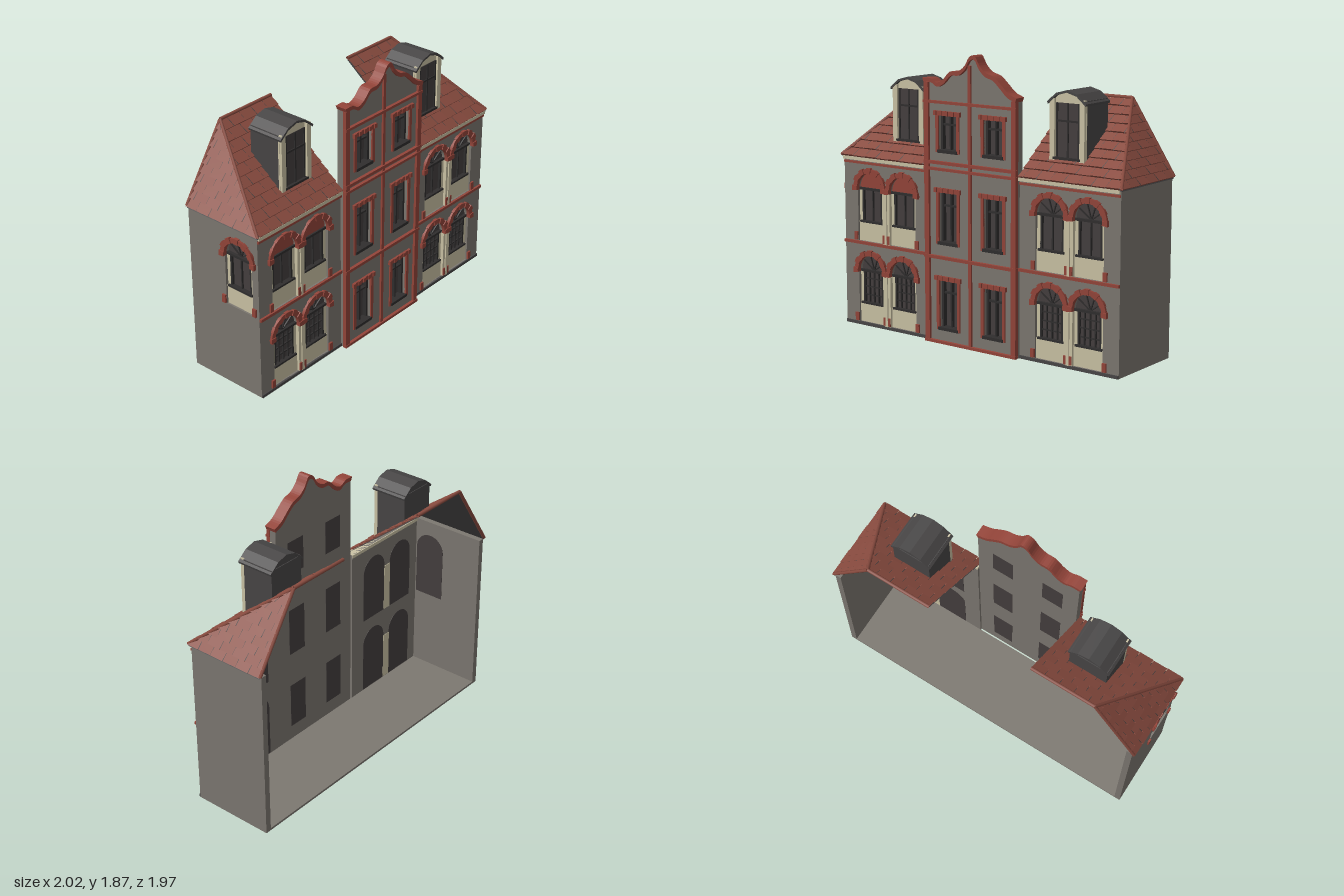
import * as THREE from 'three';

const mat = (name, color, side = THREE.FrontSide) => {
  const m = new THREE.MeshStandardMaterial({ color, side });
  m.name = name;
  return m;
};
const wall = mat('grey render', 0x7d7871);
const cream = mat('cream stone', 0xccc4a6);
const brick = mat('red brick', 0x94453a);
const tile = mat('roof tile', 0x8a4c40, THREE.DoubleSide);
const slate = mat('dark slate', 0x484646, THREE.DoubleSide);
const glass = mat('dark glass', 0x453f3f, THREE.DoubleSide);
const frame = mat('window frame', 0x302e2e);

function add(parent, name, geo, material, x = 0, y = 0, z = 0) {
  const m = new THREE.Mesh(geo, material);
  m.name = name;
  m.position.set(x, y, z);
  parent.add(m);
  return m;
}
// box given by its limits on each axis
const box = (p, name, m, x0, x1, y0, y1, z0, z1) =>
  add(p, name, new THREE.BoxGeometry(x1 - x0, y1 - y0, z1 - z0), m, (x0 + x1) / 2, (y0 + y1) / 2, (z0 + z1) / 2);
const extrude = (shape, depth) => new THREE.ExtrudeGeometry(shape, { depth, bevelEnabled: false, curveSegments: 16 });
const poly = pts => new THREE.Shape(pts.map(p => new THREE.Vector2(p[0], p[1])));
const rect = (x0, x1, y0, y1) => poly([[x0, y0], [x1, y0], [x1, y1], [x0, y1]]);
const R = 0.11, SPRING = 0.355;
function arch(cx, y0) {
  const s = new THREE.Shape();
  s.moveTo(cx - R, y0).lineTo(cx + R, y0).lineTo(cx + R, y0 + SPRING);
  s.absarc(cx, y0 + SPRING, R, 0, Math.PI, false);
  s.lineTo(cx - R, y0);
  return s;
}

// arched window facing +z, wall face at z = 0, sill line at y = 0
function archedWindow(lattice, redTop) {
  const g = new THREE.Group();
  g.name = 'archedWindow';
  add(g, 'glass', extrude(arch(0, 0), 0.008), glass, 0, 0, -0.042);
  box(g, 'apron', cream, -R, R, 0, 0.13, -0.034, -0.012);
  for (const s of [-1, 1]) {
    box(g, 'jamb', cream, s * 0.098 - 0.012, s * 0.098 + 0.012, 0.13, SPRING, -0.034, -0.018);
    box(g, 'frameSide', frame, s * 0.08 - 0.007, s * 0.08 + 0.007, 0.13, SPRING, -0.034, -0.018);
    box(g, 'brickFoot', brick, s * 0.125 - 0.014, s * 0.125 + 0.014, 0.005, 0.06, -0.002, 0.012);
  }
  box(g, 'sill', frame, -0.098, 0.098, 0.125, 0.138, -0.034, -0.004);
  box(g, 'transom', frame, -R, R, SPRING - 0.012, SPRING + 0.004, -0.034, -0.014);
  const cols = lattice ? 4 : 2, rows = lattice ? 4 : 1;
  for (let i = 1; i < cols; i++) {
    const x = -0.08 + 0.16 * i / cols;
    box(g, 'mullion', frame, x - 0.004, x + 0.004, 0.13, SPRING, -0.034, -0.022);
  }
  for (let i = 1; i < rows; i++) {
    const y = 0.13 + (SPRING - 0.13) * i / rows;
    box(g, 'glazingBar', frame, -0.08, 0.08, y - 0.004, y + 0.004, -0.034, -0.024);
  }
  if (redTop) {
    const t = new THREE.Shape();
    t.absarc(0, 0, R, 0, Math.PI, false);
    add(g, 'brickTympanum', extrude(t, 0.009), brick, 0, SPRING + 0.004, -0.034);
  } else {
    for (let i = 1; i < 5; i++) {
      const a = Math.PI * i / 5, bar = new THREE.BoxGeometry(R, 0.006, 0.01);
      bar.translate(R / 2, 0, 0).rotateZ(a);
      add(g, 'fanBar', bar, frame, 0, SPRING, -0.03);
    }
  }
  // brick arch, every other stone slightly prouder
  const n = 13;
  for (let i = 0; i < n; i++) {
    const s = new THREE.Shape(), a0 = Math.PI * (-0.04 + 1.08 * i / n), a1 = Math.PI * (-0.04 + 1.08 * (i + 1) / n);
    s.absarc(0, 0, i % 2 ? 0.138 : 0.144, a0, a1, false);
    s.absarc(0, 0, R - 0.004, a1, a0, true);
    add(g, 'archBrick', extrude(s, i % 2 ? 0.024 : 0.03), brick, 0, SPRING, -0.01);
  }
  return g;
}

// lapped tiles over a roof face: point(s, t), limits lo(t)..hi(t), face normal
function tiles(parent, point, lo, hi, normal) {
  const pos = [], rows = 10, w = 0.1;
  const at = (s, t, lift) => point(s, t).addScaledVector(normal, lift);
  const quad = (a, b, c, d) => [a, b, c, a, c, d].forEach(v => pos.push(v.x, v.y, v.z));
  for (let r = 0; r < rows; r++) {
    const t0 = r / rows, t1 = (r + 1) / rows;
    const cut = (s, t) => Math.min(Math.max(s, lo(t)), hi(t));
    for (let i = -13; i < 13; i++) {
      const s0 = (i + (r % 2) / 2) * w, s1 = s0 + w - 0.003;
      const a = cut(s0, t0), b = cut(s1, t0), c = cut(s1, t1), d = cut(s0, t1);
      if (b - a < 0.001) continue;
      const lift = i % 2 ? 0.011 : 0.014;
      quad(at(a, t0, lift), at(b, t0, lift), at(c, t1, 0.002), at(d, t1, 0.002));
      quad(at(a, t0, -0.002), at(b, t0, -0.002), at(b, t0, lift), at(a, t0, lift));
    }
  }
  const geo = new THREE.BufferGeometry();
  geo.setAttribute('position', new THREE.Float32BufferAttribute(pos, 3));
  geo.computeVertexNormals();
  add(parent, 'roofTiles', geo, tile);
}

function dormer(cx) {
  const g = new THREE.Group();
  g.name = 'dormer';
  g.position.x = cx;
  const body = extrude(poly([[-0.08, 1.43], [0.14, 1.255], [0.14, 1.62], [-0.08, 1.62]]), 0.26);
  add(g, 'dormerBody', body.rotateY(-Math.PI / 2), slate, 0.13);
  const top = [[-0.143, 1.605], [-0.075, 1.66], [0, 1.68], [0.075, 1.66], [0.143, 1.605]];
  const under = top.map(([x, y]) => [x * 0.97, y - 0.014]);
  add(g, 'dormerRoof', extrude(poly([...under, ...top.slice().reverse()]), 0.258), slate, 0, 0, -0.085);
  add(g, 'backPanel', extrude(poly([[-0.13, 1.6], [0.13, 1.6], ...under.slice(1, 4).reverse()]), 0.01), slate, 0, 0, -0.075);
  add(g, 'frontPanel', extrude(poly([[-0.13, 1.25], [0.13, 1.25], [0.13, 1.6], ...under.slice(1, 4).reverse(), [-0.13, 1.6]]), 0.009), cream, 0, 0, 0.14);
  box(g, 'dormerGlass', glass, -0.083, 0.083, 1.27, 1.6, 0.147, 0.152);
  for (const s of [-1, 1]) {
    box(g, 'dormerPost', cream, s * 0.11 - 0.018, s * 0.11 + 0.018, 1.25, 1.625, 0.145, 0.167);
    box(g, 'frameSide', frame, s * 0.08 - 0.006, s * 0.08 + 0.006, 1.27, 1.6, 0.15, 0.158);
  }
  box(g, 'mullion', frame, -0.005, 0.005, 1.27, 1.6, 0.15, 0.158);
  box(g, 'transom', frame, -0.083, 0.083, 1.485, 1.497, 0.15, 0.158);
  box(g, 'sill', frame, -0.1, 0.1, 1.255, 1.27, 0.145, 0.17);
  return g;
}

// side wing; k = -1 or 1 picks the end of the building
function wing(k) {
  const g = new THREE.Group();
  g.name = 'wing';
  const a = Math.min(k * 0.36, k * 1.095), b = Math.max(k * 0.36, k * 1.095);
  const front = rect(a, b, 0, 1.14);
  for (const y of [0.02, 0.575]) {
    for (const s of [-1, 1]) {
      const cx = k * 0.73 + s * 0.14;
      front.holes.push(arch(cx, y));
      const w = archedWindow(y < 0.1, y > 0.1 && k < 0);
      w.position.set(cx, y, 0.275);
      g.add(w);
    }
    box(g, 'pillar', cream, k * 0.73 - 0.031, k * 0.73 + 0.031, y, y + 0.34, 0.232, 0.28);
    box(g, 'pillarRib', cream, k * 0.73 - 0.01, k * 0.73 + 0.01, y, y + 0.335, 0.275, 0.288);
  }
  add(g, 'frontWall', extrude(front, 0.04), wall, 0, 0, 0.235);
  const end = rect(-0.29, 0.275, 0, 1.14);
  if (k < 0) {
    end.holes.push(arch(0.116, 0.575));
    const w = archedWindow(false, false);
    w.position.set(-1.096, 0.575, 0.116);
    w.rotation.y = -Math.PI / 2;
    g.add(w);
  }
  add(g, 'endWall', extrude(end, 0.04).rotateY(-Math.PI / 2), wall, k < 0 ? -1.056 : 1.096);
  box(g, 'plinth', slate, a, b, 0, 0.02, 0.27, 0.284);
  box(g, 'stringCourse', brick, a, b, 0.555, 0.574, 0.27, 0.29);
  box(g, 'brickCornice', brick, a, b, 1.095, 1.11, 0.27, 0.284);
  box(g, 'cornice', cream, a, b, 1.118, 1.14, 0.23, 0.292);

  // lean-to roof with a hip at the outer end
  const V = (x, y, z) => new THREE.Vector3(x, y, z);
  tiles(g, (s, t) => V(k * s, 1.14 + 0.46 * t, 0.29 - 0.58 * t), t => 0.36, t => 1.107 - 0.307 * t, V(0, 0.783, 0.622));
  tiles(g, (s, t) => V(k * (1.107 - 0.307 * t), 1.14 + 0.46 * t, s), t => -0.29, t => 0.29 - 0.58 * t, V(k * 0.832, 0.555, 0));
  const A = V(k * 0.36, 1.14, 0.29), B = V(k * 1.107, 1.14, 0.29), C = V(k * 0.8, 1.6, -0.29), D = V(k * 0.36, 1.6, -0.29), E = V(k * 1.107, 1.14, -0.29);
  const under = new THREE.BufferGeometry().setFromPoints([A, B, C, A, C, D, B, E, C]);
  under.computeVertexNormals();
  add(g, 'roofUnderside', under, slate, 0, -0.008, 0);
  for (const [p, q] of [[B, C], [C, D], [E, C]])
    add(g, 'ridgeCap', new THREE.TubeGeometry(new THREE.LineCurve3(p, q), 1, 0.011, 6), tile, 0, 0.006, 0);
  g.add(dormer(k * 0.63));
  return g;
}

function gableHouse() {
  const g = new THREE.Group();
  g.name = 'gableHouse';
  // curved gable outline
  const curve = new THREE.CatmullRomCurve3([[-0.36, 1.68], [-0.3, 1.68], [-0.25, 1.655], [-0.2, 1.675], [-0.14, 1.73], [-0.08, 1.735],
    [-0.03, 1.77], [0.01, 1.83], [0.045, 1.84], [0.085, 1.78], [0.13, 1.74], [0.19, 1.72], [0.25, 1.67], [0.3, 1.625], [0.36, 1.6]]
    .map(p => new THREE.Vector3(p[0], p[1], 0)));
  const top = curve.getPoints(56).map(p => [p.x, p.y]);
  const face = poly([[-0.36, 0], [0.36, 0], ...top.slice().reverse()]);
  for (const [y0, y1] of [[0.1, 0.42], [0.66, 0.99], [1.25, 1.48]])
    for (const s of [-1, 1]) {
      const c = s * 0.18, w = 0.073;
      face.holes.push(rect(c - w, c + w, y0, y1));
      box(g, 'glass', glass, c - w, c + w, y0, y1, 0.249, 0.257);
      for (const e of [-1, 1]) {
        box(g, 'brickJamb', brick, c + e * 0.084 - 0.011, c + e * 0.084 + 0.011, y0 - 0.01, y1, 0.3, 0.314);
        box(g, 'frameSide', frame, c + e * 0.065 - 0.008, c + e * 0.065 + 0.008, y0, y1, 0.256, 0.285);
      }
      for (let i = 0; i < 9; i++)
        box(g, 'lintelBrick', brick, c - 0.106 + i * 0.0236, c - 0.084 + i * 0.0236, y1 - 0.005, y1 + 0.024, 0.3, i % 2 ? 0.318 : 0.323);
      box(g, 'sill', frame, c - 0.08, c + 0.08, y0 - 0.012, y0 + 0.008, 0.256, 0.318);
      box(g, 'mullion', frame, c - 0.006, c + 0.006, y0, y1, 0.256, 0.28);
      const ty = y0 + (y1 - y0) * 0.72;
      box(g, 'transom', frame, c - w, c + w, ty - 0.006, ty + 0.006, 0.256, 0.28);
    }
  add(g, 'gableWall', extrude(face, 0.055), wall, 0, 0, 0.25);
  const cap = top.map(([x, y]) => [x * 1.03, y + 0.026]);
  add(g, 'gableCoping', extrude(poly([...top, ...cap.reverse()]), 0.078), brick, 0, 0, 0.247);
  // brick pilasters and bands
  for (const s of [-1, 1]) box(g, 'edgePilaster', brick, s * 0.345 - 0.018, s * 0.345 + 0.018, 0, s < 0 ? 1.68 : 1.605, 0.295, 0.322);
  box(g, 'middlePilaster', brick, -0.011, 0.011, 0, 1.8, 0.3, 0.318);
  for (const [y0, y1] of [[0, 0.018], [0.555, 0.575], [1.125, 1.142], [1.165, 1.185], [1.55, 1.567]])
    box(g, 'brickBand', brick, -0.366, 0.366, y0, y1, 0.3, 0.326);
  return g;
}

export function createModel() {
  const model = new THREE.Group();
  model.name = 'townHouses';
  const row = new THREE.Group();
  row.name = 'houseRow';
  row.rotation.y = 0.763;
  row.add(wing(-1), gableHouse(), wing(1));
  box(row, 'floor', wall, -1.08, 1.08, 0, 0.015, -0.29, 0.236);
  model.add(row);
  return model;
}
